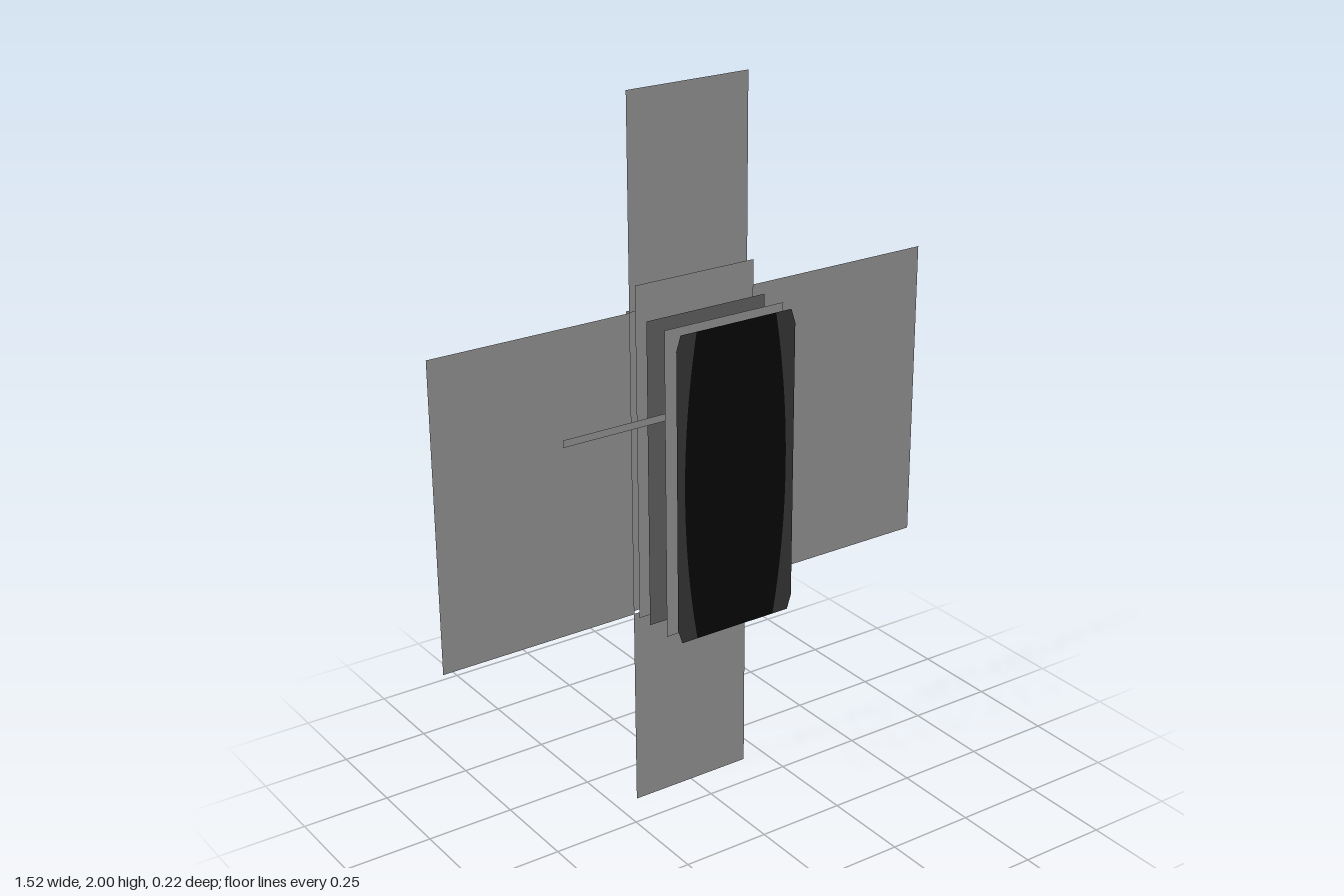
import * as THREE from 'three';

const material = (name, color) => {
  const m = new THREE.MeshStandardMaterial({ color, side: THREE.DoubleSide });
  m.name = name;
  return m;
};

export function createModel() {
  const group = new THREE.Group();
  const grey = material('light grey', 0xc0c0c0);
  const midGrey = material('mid grey', 0x808080);
  const dark = material('dark grey', 0x484848);
  const black = material('black', 0x0c0c0c);

  const add = (name, geometry, mat, z) => {
    const mesh = new THREE.Mesh(geometry, mat);
    mesh.name = name;
    mesh.position.z = z;
    group.add(mesh);
  };
  // Flat upright sheet given by its edges
  const sheet = (name, x0, x1, y0, y1, z, mat = grey) => {
    const g = new THREE.PlaneGeometry(x1 - x0, y1 - y0);
    g.translate((x0 + x1) / 2, (y0 + y1) / 2, 0);
    add(name, g, mat, z);
  };

  const W = 0.183, LOW = 0.577, HIGH = 1.43, MID = (LOW + HIGH) / 2;

  // Back panel and the four flaps spread around it
  sheet('backPanel', -W, W, LOW, HIGH, -0.112);
  sheet('topFlap', -W, W, HIGH, 2, -0.098);
  sheet('bottomFlap', -W, W, 0, LOW, -0.098);
  for (const [name, s] of [['leftWing', 1], ['rightWing', -1]]) {
    sheet(name, Math.min(s * W, s * 0.762), Math.max(s * W, s * 0.762), LOW, HIGH, -0.096);
  }

  // Stacked body layers
  sheet('rearLayer', -W, W, LOW, 1.51, -0.07);
  sheet('middleLayer', -W, W, LOW, HIGH, -0.02, midGrey);
  sheet('frontLayer', -W, W, LOW, HIGH, 0.06);

  // Slim arm reaching out to the right side
  sheet('arm', -0.46, -0.15, 1.17, 1.19, 0.022);

  // Barrel-shaped black face
  const half = 0.122, bulge = 0.196;
  const face = new THREE.Shape();
  face.moveTo(-half, LOW);
  face.lineTo(half, LOW);
  face.quadraticCurveTo(bulge, MID, half, HIGH);
  face.lineTo(-half, HIGH);
  face.quadraticCurveTo(-bulge, MID, -half, LOW);
  add('frontFace', new THREE.ShapeGeometry(face, 24), black, 0.112);

  // Dark borders beside the face, with clipped corners
  for (const s of [1, -1]) {
    const border = new THREE.Shape();
    border.moveTo(s * half, LOW);
    border.lineTo(s * 0.17, LOW);
    border.lineTo(s * W, LOW + 0.04);
    border.lineTo(s * W, HIGH - 0.04);
    border.lineTo(s * 0.17, HIGH);
    border.lineTo(s * half, HIGH);
    border.quadraticCurveTo(s * bulge, MID, s * half, LOW);
    add(s > 0 ? 'leftBorder' : 'rightBorder', new THREE.ShapeGeometry(border, 24), dark, 0.112);
  }
  return group;
}
